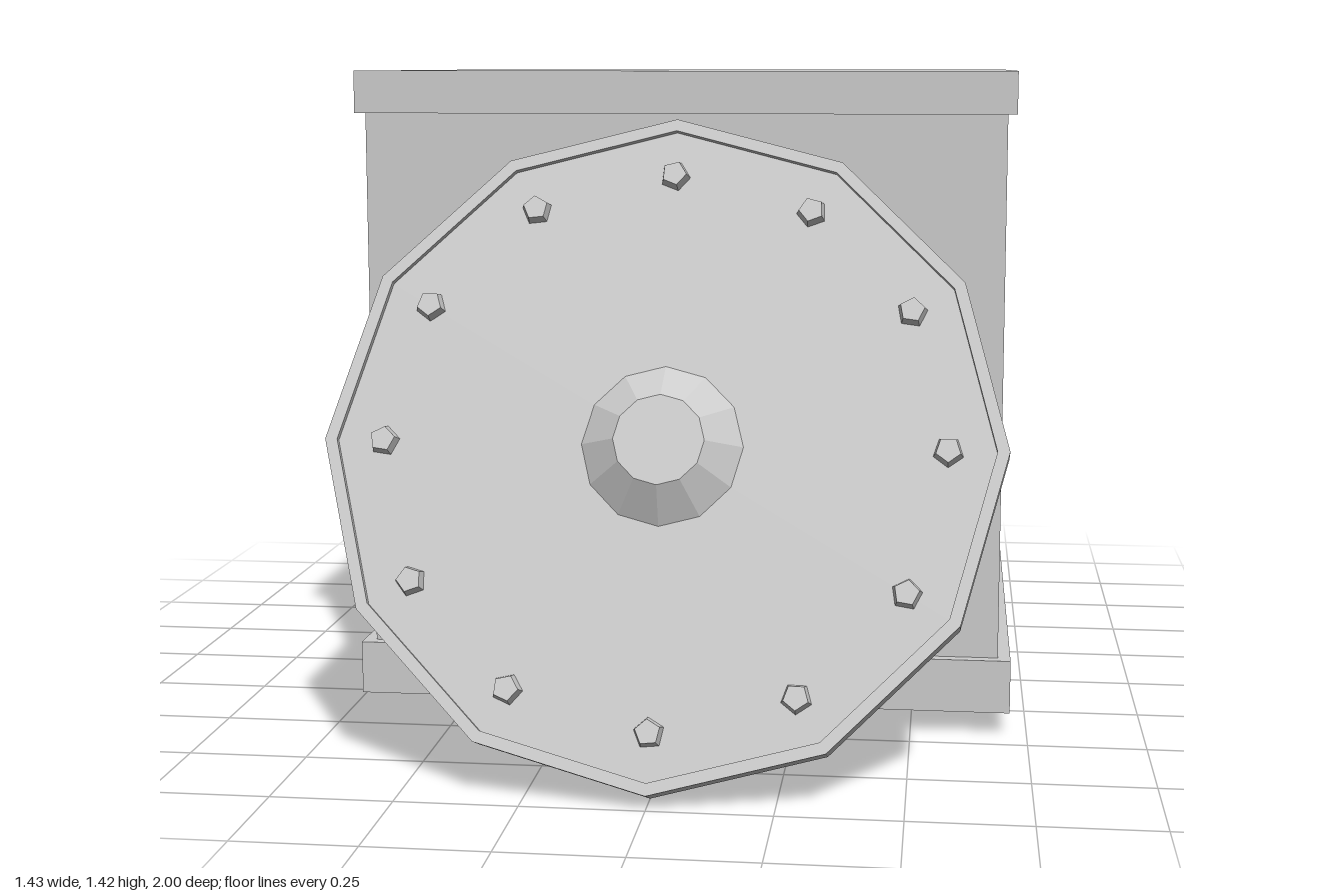
import * as THREE from 'three';

const material = new THREE.MeshStandardMaterial({ color: 0xcccccc, flatShading: true });

function add(parent, name, geometry) {
  const mesh = new THREE.Mesh(geometry, material);
  mesh.name = name;
  parent.add(mesh);
  return mesh;
}

// Box given by half width, bottom, top, back and front
function slab(parent, name, halfW, y0, y1, z0, z1) {
  add(parent, name, new THREE.BoxGeometry(halfW * 2, y1 - y0, z1 - z0))
    .position.set(0, (y0 + y1) / 2, (z0 + z1) / 2);
}

// Twelve-sided turned shape whose axis points to +z
function turned(points) {
  return new THREE.LatheGeometry(points.map(([r, h]) => new THREE.Vector2(r, h)), 12)
    .rotateX(Math.PI / 2);
}

export function createModel() {
  const model = new THREE.Group();
  model.name = 'crateWithShield';

  // Crate with overhanging lid and plinth
  slab(model, 'crateBody', 0.686, 0.1, 1.38, -0.97, 0.41);
  slab(model, 'crateLid', 0.705, 1.33, 1.42, -0.99, 0.43);
  slab(model, 'cratePlinth', 0.713, 0.05, 0.165, -1, 0.435);

  // Round shield leaning against the crate
  const shield = new THREE.Group();
  shield.name = 'shield';
  shield.position.set(0, 0.675, 0.74);
  shield.rotation.x = -0.383;
  model.add(shield);

  // Disc with raised rims and a slightly domed face
  add(shield, 'shieldDisc', turned([
    [0, -0.068], [0.62, -0.068], [0.62, -0.08], [0.695, -0.08],
    [0.695, 0], [0.67, 0], [0.67, -0.014], [0, -0.003],
  ]));

  // Central boss
  add(shield, 'shieldBoss', turned([[0.172, -0.012], [0.092, 0.056], [0, 0.056]]));

  // Ring of five-sided rivets
  const rivet = new THREE.CylinderGeometry(0.026, 0.033, 0.03, 5).rotateX(Math.PI / 2);
  for (let i = 0; i < 12; i++) {
    const a = (i * Math.PI) / 6;
    const mesh = add(shield, 'rivet', rivet);
    mesh.position.set(0.573 * Math.cos(a), 0.573 * Math.sin(a), -0.003);
    mesh.rotation.z = i * 0.5;
  }
  return model;
}
